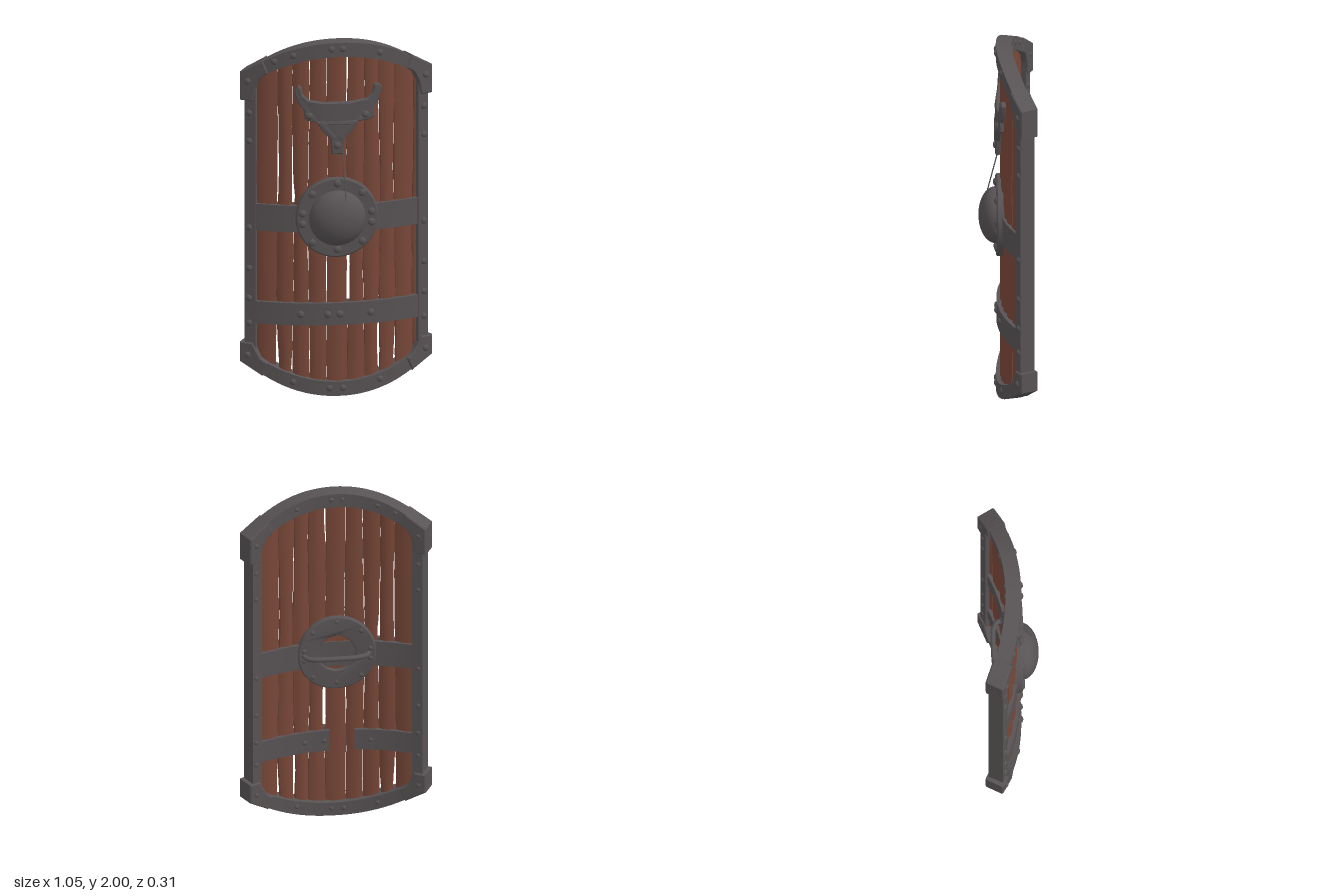
import * as THREE from 'three';
import { toCreasedNormals } from 'three/addons/utils/BufferGeometryUtils.js';

const R = 1.05; // radius of the curved board

// Flat board coordinates (u across, y up, w outwards) to the curved board
function bend(u, y, w) {
  const a = u / R;
  return [(R + w) * Math.sin(a), y, 0.02 - R + (R + w) * Math.cos(a)];
}

// Moves every vertex of a geometry by a rule
function warp(geo, rule) {
  const p = geo.attributes.position;
  for (let i = 0; i < p.count; i++) p.setXYZ(i, ...rule(p.getX(i), p.getY(i), p.getZ(i)));
  geo.computeVertexNormals();
  return geo;
}

const arch = (u) => 2 - 0.18 * Math.pow(Math.abs(u) / 0.5, 2.1);
const archInner = (u) => 1.92 - 0.13 * Math.pow(Math.abs(u) / 0.43, 2);

export function createModel() {
  const model = new THREE.Group();
  const iron = new THREE.MeshStandardMaterial({ color: 0x585354 });
  iron.name = 'dark iron';
  const wood = new THREE.MeshStandardMaterial({ color: 0x784738 });
  wood.name = 'red brown wood';

  const add = (name, geo, mat = iron) => {
    const mesh = new THREE.Mesh(geo, mat);
    mesh.name = name;
    model.add(mesh);
    return mesh;
  };

  // Curved plate between two heights, which may vary with u
  const plate = (name, u0, u1, lo, hi, w0, w1, segs = 16) =>
    add(name, warp(new THREE.BoxGeometry(1, 1, 1, segs, 1, 1), (a, b, c) => {
      const u = u0 + (u1 - u0) * (a + 0.5);
      const y0 = typeof lo === 'function' ? lo(u) : lo;
      const y1 = typeof hi === 'function' ? hi(u) : hi;
      return bend(u, y0 + (y1 - y0) * (b + 0.5), c < 0 ? w0 : w1);
    }));

  // Bevelled cut-out bent onto the board
  const cutout = (name, shape, w0, w1, bevel, mat = iron) => {
    const geo = new THREE.ExtrudeGeometry(shape, {
      depth: w1 - w0 - 2 * bevel, bevelEnabled: bevel > 0, bevelThickness: bevel,
      bevelSize: bevel, bevelOffset: -bevel, bevelSegments: 1, curveSegments: 28,
    });
    warp(geo, (x, y, z) => bend(x, y, z + w0 + bevel));
    return add(name, toCreasedNormals(geo, 0.5), mat);
  };
  const polygon = (pts) => new THREE.Shape(pts.map(([x, y]) => new THREE.Vector2(x, y)));

  // Planks: uneven edges, with open gaps between some of them
  const edges = [-0.46, -0.33, -0.245, -0.16, -0.06, 0.05, 0.14, 0.228, 0.315, 0.425, 0.47];
  const gaps = [0, 0.008, 0.007, 0.001, 0.002, 0.009, 0.002, 0.008, 0.008, 0.002, 0];
  const edgeAt = (i, y, side) => {
    const open = Math.max(0, Math.sin(y * 5.2 + i * 0.9)) * (y < 1.15 ? 1 : 0.45);
    return edges[i] + 0.005 * Math.sin(y * 4 + i * 2.3) + side * (0.0015 + gaps[i] * open
      + 0.0012 * Math.sin(y * 23 + i * 3 + side));
  };
  for (let i = 0; i < edges.length - 1; i++) {
    const mid = (edges[i] + edges[i + 1]) / 2;
    const top = archInner(mid) + 0.03;
    add('plank', warp(new THREE.BoxGeometry(1, 1, 1, 4, 28, 1), (a, b, c) => {
      const y = 2 - top + (2 * top - 2) * (b + 0.5);
      const l = edgeAt(i, y, 1), r = edgeAt(i + 1, y, -1);
      const half = 0.02 - 0.011 * Math.pow(2 * Math.abs(a), 3);
      return bend(l + (r - l) * (a + 0.5), y, Math.sign(c) * half);
    }), wood);
  }

  // Iron rim
  plate('topRim', -0.5, 0.5, archInner, arch, -0.043, 0.043, 28);
  plate('bottomRim', -0.5, 0.5, (u) => 2 - arch(u), (u) => 2 - archInner(u), -0.043, 0.043, 28);
  plate('leftRail', 0.44, 0.5, 0.22, 1.78, -0.043, 0.043, 2);
  plate('rightRail', -0.5, -0.44, 0.22, 1.78, -0.043, 0.043, 2);

  // Corner caps
  for (const sx of [-1, 1]) for (const top of [true, false]) {
    const leg = top ? 1.66 : 1.71;
    const pts = [[0.455, leg], [0.523, leg], [0.523, 1.82], [0.4, 1.893], [0.37, 1.822],
      [0.41, 1.795], [0.437, 1.745]];
    cutout('cornerCap', polygon(pts.map(([x, y]) => [sx * x, top ? y : 2 - y])), -0.053, 0.053, 0.006);
  }

  // Cross bands; the lower one is broken at the back
  plate('middleBandFront', -0.45, 0.45, 0.925, 1.075, 0.012, 0.034);
  plate('middleBandBack', -0.45, 0.45, 0.925, 1.075, -0.032, -0.012);
  plate('lowerBandFront', -0.45, 0.45, 0.4, 0.525, 0.012, 0.04);
  plate('lowerBandBackLeft', 0.03, 0.45, 0.4, 0.525, -0.032, -0.012);
  plate('lowerBandBackRight', -0.45, -0.11, 0.4, 0.525, -0.032, -0.012);

  // Domed boss with its flange
  const profile = [[0.225, 0.015], [0.225, 0.055], [0.217, 0.063], [0.155, 0.063]];
  for (let i = 1; i <= 12; i++) {
    const a = (i / 12) * Math.PI / 2;
    profile.push([0.155 * Math.cos(a), 0.063 + 0.094 * Math.sin(a)]);
  }
  profile[profile.length - 1][0] = 0;
  const bossGeo = new THREE.LatheGeometry(profile.map(([r, z]) => new THREE.Vector2(r, z)), 40);
  bossGeo.rotateX(Math.PI / 2);
  add('boss', toCreasedNormals(bossGeo, 0.6)).position.set(-0.01, 1.01, 0);

  // Back ring with a wooden centre
  const ring = new THREE.Shape().absarc(-0.01, 1.01, 0.222, 0, Math.PI * 2);
  ring.holes.push(new THREE.Path().absarc(-0.01, 1.01, 0.105, 0, Math.PI * 2, true));
  cutout('backRing', ring, -0.043, -0.012, 0.006);
  cutout('backRingCentre', new THREE.Shape().absarc(-0.01, 1.01, 0.12, 0, Math.PI * 2), -0.024, -0.016, 0, wood);

  // Handle
  const grip = [[-0.185, -0.035], [-0.168, -0.062], [-0.125, -0.08], [-0.07, -0.086],
    [0.07, -0.086], [0.125, -0.08], [0.16, -0.062], [0.172, -0.035]];
  const gripPath = new THREE.CatmullRomCurve3(grip.map(([x, z]) => new THREE.Vector3(x, 1.01, z)));
  add('handle', new THREE.TubeGeometry(gripPath, 40, 0.014, 10));

  // Horned skull emblem
  const skull = [[-0.215, 1.76], [-0.197, 1.745], [-0.19, 1.705], [-0.16, 1.675], [-0.08, 1.662],
    [0.06, 1.662], [0.15, 1.675], [0.178, 1.7], [0.19, 1.75], [0.212, 1.76], [0.232, 1.735],
    [0.212, 1.665], [0.185, 1.625], [0.19, 1.575], [0.165, 1.558], [0.1, 1.55], [0.075, 1.505],
    [0.03, 1.455], [0.018, 1.37], [-0.038, 1.37], [-0.045, 1.455], [-0.09, 1.505],
    [-0.115, 1.55], [-0.18, 1.565], [-0.185, 1.62], [-0.21, 1.655], [-0.235, 1.72]];
  cutout('skullEmblem', polygon(skull), 0.017, 0.047, 0.006);
  cutout('skullBrow', polygon([[-0.12, 1.557], [0.1, 1.557], [0.06, 1.537], [-0.08, 1.537]]), 0.03, 0.053, 0.004);
  for (const s of [-1, 1]) {
    cutout('skullCheek', polygon([[-0.01 + s * 0.1, 1.55], [-0.01 + s * 0.068, 1.545],
      [-0.01 + s * 0.006, 1.465], [-0.01 + s * 0.02, 1.45]]), 0.03, 0.053, 0.003);
  }

  // Thin wire from the emblem to the boss
  const wire = new THREE.LineCurve3(new THREE.Vector3(0.018, 1.4, 0.05), new THREE.Vector3(0.03, 1.12, 0.122));
  add('wire', new THREE.TubeGeometry(wire, 1, 0.0035, 5));

  // Rivets
  const rivetGeo = new THREE.SphereGeometry(1, 12, 8);
  const rivet = (u, y, w, r) => {
    const m = add('rivet', rivetGeo);
    m.position.set(...bend(u, y, w));
    m.rotation.y = u / R;
    m.scale.set(r, r, r * 0.6);
  };
  const rim = [[-0.34, 1.89], [-0.24, 1.928], [-0.04, 1.965], [0.02, 1.965], [0.22, 1.93],
    [-0.24, 0.08], [-0.05, 0.045], [0.02, 0.045], [0.22, 0.08]];
  for (const s of [-1, 1]) {
    for (const y of [0.4, 0.54, 0.71, 0.94, 1.43, 1.59]) rim.push([s * 0.475, y]);
    for (const y of [0.22, 1.77]) {
      rivet(s * 0.48, y, 0.053, 0.018);
      rivet(s * 0.48, y, -0.053, 0.014);
    }
  }
  for (const [u, y] of rim) {
    rivet(u, y, 0.043, 0.018);
    rivet(u, y, -0.043, 0.013);
  }
  for (const u of [-0.2, -0.06, 0.005, 0.17]) {
    rivet(u, 0.462, 0.04, 0.02);
    if (u !== -0.06) rivet(u === 0.005 ? 0.06 : u, 0.462, -0.032, 0.013);
  }
  const flange = [[0, 0.193], [-0.19, 0.03], [-0.19, -0.03], [0.187, 0.03], [0.187, -0.03],
    [-0.137, 0.137], [0.137, 0.137], [-0.137, -0.137], [0.137, -0.137], [0, -0.18]];
  for (const [dx, dy] of flange) {
    const m = add('flangeRivet', rivetGeo);
    m.position.set(dx - 0.01, dy + 1.01, 0.063);
    m.scale.set(0.021, 0.021, 0.012);
    rivet(dx - 0.01, dy + 1.01, -0.043, 0.014);
  }
  for (const [u, y] of [[-0.155, 1.588], [0.14, 1.588], [-0.01, 1.42]]) rivet(u, y, 0.047, 0.02);

  return model;
}
